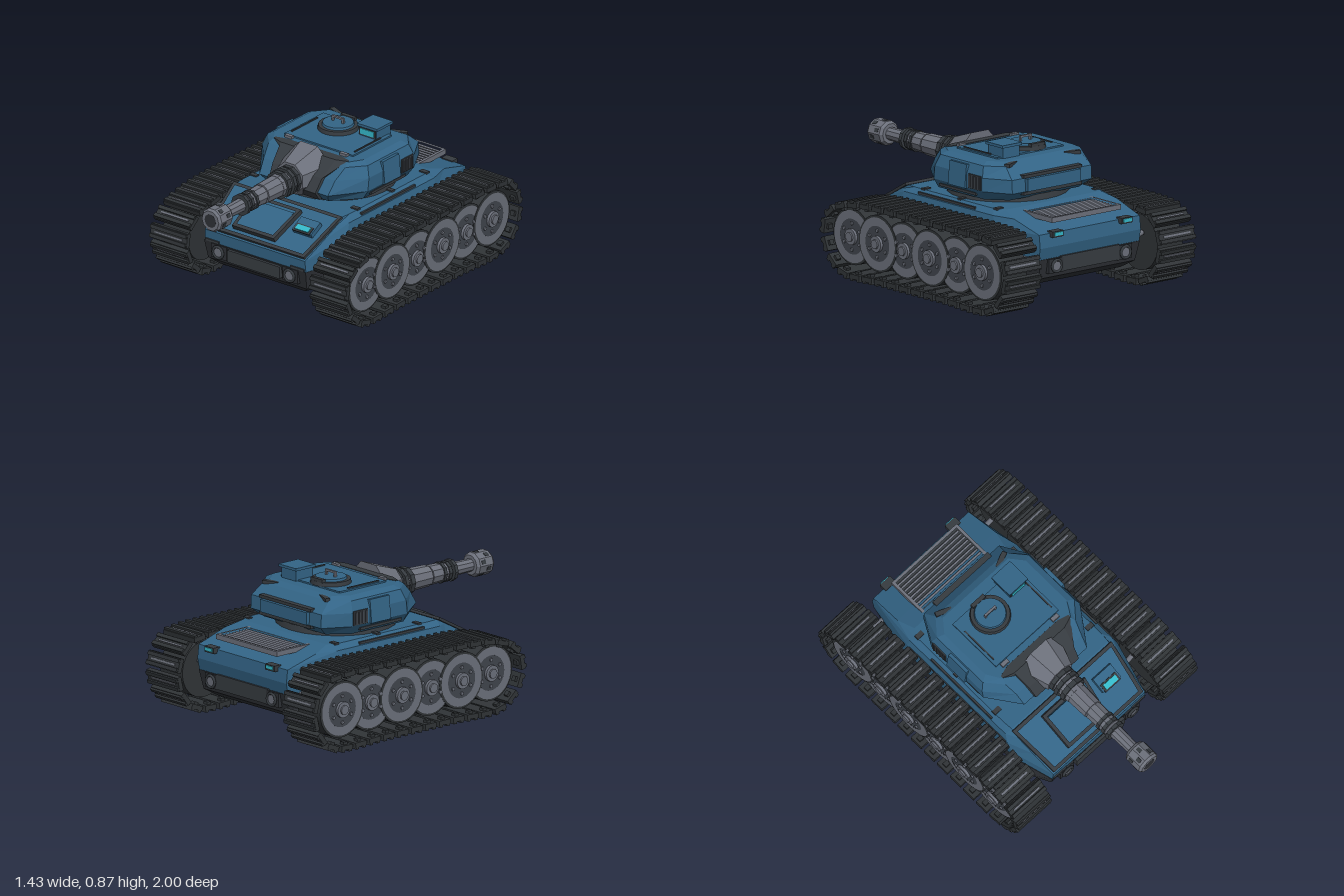
import * as THREE from 'three';

const mat = (name, color) => { const m = new THREE.MeshStandardMaterial({ color }); m.name = name; return m; };

export function createModel() {
  const blue = mat('armour blue', 0x336486), dark = mat('dark trim', 0x363b40), under = mat('lower hull', 0x2d3035),
    rubber = mat('track rubber', 0x303437), steel = mat('steel', 0x6c707b), teal = mat('teal glass', 0x35b8c9),
    wheelDark = mat('wheel dark', 0x40454d);
  const root = new THREE.Group();
  root.name = 'tank';

  const add = (name, geo, m, x = 0, y = 0, z = 0, parent = root) => {
    const mesh = new THREE.Mesh(geo, m);
    mesh.name = name;
    mesh.position.set(x, y, z);
    parent.add(mesh);
    return mesh;
  };
  const group = (name, parent = root) => { const g = new THREE.Group(); g.name = name; parent.add(g); return g; };
  const box = (name, w, h, d, m, x, y, z, parent) => add(name, new THREE.BoxGeometry(w, h, d), m, x, y, z, parent);
  const flat = g => { const n = g.toNonIndexed(); n.computeVertexNormals(); return n; };
  // cylinder along z from z0 (radius r0) to z1 (radius r1)
  const tubeZ = (name, r0, r1, z0, z1, m, x, y, parent, sides = 12) =>
    add(name, flat(new THREE.CylinderGeometry(r1, r0, z1 - z0, sides).rotateY(Math.PI / sides).rotateX(Math.PI / 2)), m, x, y, (z0 + z1) / 2, parent);
  const discX = (name, r, len, m, x, y, z, parent, sides = 28) =>
    add(name, new THREE.CylinderGeometry(r, r, len, sides).rotateZ(Math.PI / 2), m, x, y, z, parent);

  // stacked outlines: [y, middle width, front width, rear width, front z, mid-front z, mid-rear z, rear z]
  const loft = levels => {
    const rings = levels.map(([y, w, wf, wr, zf, mf, mr, zr]) => {
      const side = [[wf, zf], [w, mf], [w, mr], [wr, zr]];
      return [...side, ...side.slice().reverse().map(([x, z]) => [-x, z])].map(([x, z]) => [x, y, z]);
    });
    const pos = [], tri = (a, b, c) => pos.push(...a, ...b, ...c);
    for (let k = 0; k + 1 < rings.length; k++) for (let i = 0; i < 8; i++) {
      const j = (i + 1) % 8, lo = rings[k], hi = rings[k + 1];
      tri(lo[i], lo[j], hi[j]); tri(lo[i], hi[j], hi[i]);
    }
    const top = rings[rings.length - 1], bot = rings[0];
    for (let i = 1; i < 7; i++) { tri(top[0], top[i], top[i + 1]); tri(bot[0], bot[i + 1], bot[i]); }
    const g = new THREE.BufferGeometry();
    g.setAttribute('position', new THREE.Float32BufferAttribute(pos, 3));
    g.computeVertexNormals();
    return g;
  };
  // flat frame lying in xz: outer corners, inset border
  const frame = (x0, x1, x2, x3, z0, z1, b, h) => {
    const path = (P, i) => P.setFromPoints([[x0 + i, z0 + i], [x1 - i, z0 + i], [x3 - i, z1 - i], [x2 + i, z1 - i]]
      .map(([x, z]) => new THREE.Vector2(x, -z)));
    const s = path(new THREE.Shape(), 0);
    s.holes.push(path(new THREE.Path(), b));
    return new THREE.ExtrudeGeometry(s, { depth: h, bevelEnabled: false }).rotateX(-Math.PI / 2);
  };

  // hull
  add('lowerHull', loft([
    [0.13, 0.33, 0.31, 0.31, 0.51, 0.4, -0.66, -0.8],
    [0.175, 0.43, 0.36, 0.36, 0.56, 0.42, -0.7, -0.87],
    [0.29, 0.432, 0.37, 0.38, 0.585, 0.36, -0.62, -0.89]]), under);
  add('upperHull', loft([
    [0.285, 0.435, 0.37, 0.38, 0.58, 0.34, -0.58, -0.885],
    [0.36, 0.44, 0.365, 0.38, 0.585, 0.32, -0.56, -0.9],
    [0.44, 0.44, 0.38, 0.38, 0.43, 0.28, -0.55, -0.89],
    [0.5, 0.425, 0.39, 0.39, 0.317, 0.25, -0.54, -0.68],
    [0.53, 0.39, 0.385, 0.36, 0.26, 0.2, -0.5, -0.57]]), blue);
  box('noseBar', 0.38, 0.075, 0.03, dark, 0, 0.243, 0.585);
  box('rearPanel', 0.44, 0.09, 0.03, dark, 0, 0.25, -0.885);
  for (const s of [-1, 1]) {
    for (const [n, z, d] of [['headlamp', 0.57, 1], ['tailLamp', -0.88, -1]]) {
      box(n + 'Mount', 0.11, 0.085, 0.04, under, s * 0.26, 0.245, z);
      add(n + 'Ring', new THREE.TorusGeometry(0.035, 0.009, 6, 16), dark, s * 0.26, 0.245, z + d * 0.028);
      const a = Math.min(z, z + d * 0.03), b = Math.max(z, z + d * 0.03);
      tubeZ(n, 0.03, 0.03, a, b, steel, s * 0.26, 0.245);
    }
    box('tailLightHousing', 0.08, 0.035, 0.05, dark, s * 0.26, 0.435, -0.895);
    box('tailLight', 0.06, 0.02, 0.008, teal, s * 0.26, 0.437, -0.922);
    box('noseTrim', 0.1, 0.014, 0.02, dark, s * 0.31, 0.3, 0.58);
    box('deckRail', 0.012, 0.014, 0.5, dark, s * 0.418, 0.512, -0.12);
    box('sideSeam', 0.008, 0.012, 0.8, dark, s * 0.44, 0.44, -0.13);
    for (const z of [0.36, -0.8]) {
      const rod = discX('suspensionRod', 0.016, 0.1, steel, s * 0.43, 0.295, z, root, 8);
      rod.rotation.z = s * 0.3;
    }
    for (let i = 0; i < 3; i++) box('deckLatch', 0.05, 0.012, 0.03, dark, s * 0.37, 0.531, 0.12 - i * 0.32);
  }

  // sloping front plate with hatch and light
  const glacis = group('glacis');
  glacis.position.set(0, 0.448, 0.42);
  glacis.rotation.x = 0.488;
  add('glacisFrame', frame(-0.395, 0.395, -0.355, 0.355, -0.17, 0.175, 0.022, 0.016), dark, 0, 0, 0, glacis);
  box('hatchLid', 0.29, 0.018, 0.2, blue, -0.045, 0.012, 0.01, glacis);
  add('hatchFrame', frame(-0.205, 0.135, -0.2, 0.105, -0.12, 0.125, 0.022, 0.03), dark, 0, 0, 0, glacis);
  box('lightHousing', 0.14, 0.03, 0.1, blue, 0.235, 0.012, -0.03, glacis);
  box('lightSurround', 0.12, 0.008, 0.055, dark, 0.235, 0.028, 0, glacis);
  box('frontLight', 0.095, 0.008, 0.035, teal, 0.235, 0.034, 0, glacis);

  // engine grille
  const grille = group('engineGrille');
  grille.position.set(0, 0.49, -0.725);
  box('grilleBase', 0.5, 0.012, 0.26, dark, 0, 0.005, 0, grille);
  add('grilleFrame', frame(-0.26, 0.26, -0.26, 0.26, -0.14, 0.14, 0.018, 0.03), steel, 0, 0, 0, grille);
  for (let i = 0; i < 9; i++) box('grilleSlat', 0.48, 0.014, 0.012, steel, 0, 0.018, -0.105 + i * 0.026, grille).rotation.x = 0.4;

  // turret
  const turret = group('turret');
  const ring = add('turretRing', new THREE.CylinderGeometry(0.35, 0.36, 0.04, 24), dark, 0, 0.545, -0.17, turret);
  ring.scale.z = 0.97;
  add('turretShell', loft([
    [0.555, 0.355, 0.22, 0.26, 0.18, 0.03, -0.38, -0.49],
    [0.61, 0.39, 0.25, 0.3, 0.225, 0.03, -0.4, -0.56],
    [0.69, 0.39, 0.26, 0.3, 0.17, 0.02, -0.4, -0.555],
    [0.755, 0.365, 0.28, 0.28, 0.1, 0, -0.38, -0.48],
    [0.775, 0.325, 0.27, 0.26, 0.07, -0.02, -0.36, -0.44]]), blue, 0, 0, 0, turret);
  add('mantletCollar', loft([
    [0.556, 0.18, 0.17, 0.17, 0.2, 0.1, 0.05, 0],
    [0.61, 0.19, 0.17, 0.17, 0.24, 0.18, 0.05, 0],
    [0.69, 0.2, 0.18, 0.18, 0.19, 0.13, 0.04, 0],
    [0.778, 0.27, 0.2, 0.2, 0.09, 0.065, 0.05, 0.03]]), dark, 0, 0, 0, turret);
  tubeZ('mantlet', 0.165, 0.1, 0.08, 0.26, steel, 0, 0.668, turret, 8);
  box('turretRoof', 0.5, 0.012, 0.36, blue, 0, 0.778, -0.19, turret);
  box('rearBin', 0.4, 0.075, 0.05, blue, 0, 0.65, -0.555, turret);
  box('rearBinTrim', 0.44, 0.018, 0.035, dark, 0, 0.7, -0.55, turret);
  box('rearBinBase', 0.44, 0.018, 0.035, dark, 0, 0.6, -0.55, turret);
  for (const s of [-1, 1]) {
    box('cheekPanel', 0.025, 0.14, 0.15, blue, s * 0.385, 0.675, -0.185, turret).rotation.z = s * 0.1;
    box('sideVent', 0.012, 0.085, 0.11, dark, s * 0.389, 0.655, -0.335, turret);
    for (let i = 0; i < 4; i++) box('ventBar', 0.008, 0.07, 0.01, wheelDark, s * 0.396, 0.655, -0.295 - i * 0.026, turret);
    box('sideTrim', 0.018, 0.016, 0.32, dark, s * 0.375, 0.582, -0.17, turret);
    const wedge = box('rearWedge', 0.1, 0.02, 0.03, dark, s * 0.23, 0.76, -0.465, turret);
    wedge.rotation.y = s * 0.4;
    box('roofRail', 0.008, 0.012, 0.24, dark, s * 0.23, 0.785, -0.17, turret);
    box('roofClip', 0.05, 0.016, 0.025, steel, s * 0.2, 0.785, 0.01, turret);
  }

  // cupola and sight
  add('cupolaRing', new THREE.CylinderGeometry(0.115, 0.12, 0.025, 24), dark, -0.055, 0.795, -0.26, turret);
  add('cupolaLid', new THREE.CylinderGeometry(0.09, 0.097, 0.022, 24), blue, -0.055, 0.81, -0.26, turret);
  box('cupolaHinge', 0.1, 0.02, 0.025, dark, -0.055, 0.815, -0.36, turret);
  box('cupolaHandle', 0.085, 0.012, 0.014, steel, -0.055, 0.848, -0.26, turret);
  for (const s of [-1, 1]) box('cupolaHandlePost', 0.012, 0.03, 0.014, steel, -0.055 + s * 0.037, 0.833, -0.26, turret);
  box('sightBody', 0.125, 0.065, 0.13, blue, 0.163, 0.81, -0.325, turret);
  box('sightCap', 0.148, 0.016, 0.15, blue, 0.163, 0.849, -0.325, turret);
  box('sightSurround', 0.12, 0.045, 0.008, dark, 0.163, 0.813, -0.258, turret);
  box('sightGlass', 0.1, 0.034, 0.008, teal, 0.163, 0.815, -0.253, turret);

  // gun: [name, start radius, end radius, start z, end z, material]
  const gun = group('gun', turret);
  for (const [n, r0, r1, z0, z1, m] of [
    ['gunRoot', 0.075, 0.07, 0.24, 0.4, steel], ['rootRing', 0.088, 0.088, 0.26, 0.285, dark],
    ['rootRing', 0.09, 0.09, 0.3, 0.325, dark], ['rootRing', 0.085, 0.085, 0.345, 0.375, dark],
    ['sleeve', 0.068, 0.064, 0.39, 0.53, steel], ['innerSleeve', 0.055, 0.055, 0.53, 0.685, steel],
    ['midSleeve', 0.06, 0.056, 0.54, 0.64, steel], ['sleeveRing', 0.064, 0.064, 0.62, 0.64, dark],
    ['sleeveRing', 0.062, 0.062, 0.66, 0.682, dark], ['barrelRing', 0.066, 0.066, 0.7, 0.722, dark],
    ['barrel', 0.042, 0.038, 0.7, 0.89, steel], ['muzzleBack', 0.06, 0.074, 0.868, 0.885, steel],
    ['muzzle', 0.074, 0.074, 0.885, 0.985, steel], ['muzzleTip', 0.074, 0.062, 0.985, 1, steel],
    ['bore', 0.042, 0.042, 0.99, 1.0005, under]]) tubeZ(n, r0, r1, z0, z1, m, 0, 0.662, gun, 10);
  for (let i = 0; i < 10; i++) {
    const a = i / 10 * Math.PI * 2;
    const slot = box('muzzleSlot', 0.024, 0.008, 0.03, dark, Math.sin(a) * 0.069, 0.662 + Math.cos(a) * 0.069, 0.915 + (i % 2) * 0.04, gun);
    slot.rotation.z = -a;
  }

  // running gear
  const loop = new THREE.CatmullRomCurve3([[0.46, 0.028], [0.555, 0.08], [0.612, 0.16], [0.632, 0.25], [0.605, 0.335], [0.52, 0.4],
    [0.41, 0.43], [0.28, 0.447], [-0.25, 0.45], [-0.78, 0.448], [-0.88, 0.425], [-0.945, 0.355], [-0.974, 0.26], [-0.955, 0.16],
    [-0.9, 0.08], [-0.81, 0.028], [-0.4, 0.027], [0.1, 0.027]].map(([z, y]) => new THREE.Vector3(0, y, z)), true, 'centripetal');
  loop.arcLengthDivisions = 800;
  const LINKS = 34, pitch = loop.getLength() / LINKS;
  const linkGeo = new THREE.BoxGeometry(0.265, 0.028, pitch * 0.8), cleatGeo = new THREE.BoxGeometry(0.262, 0.014, 0.022),
    pinGeo = new THREE.BoxGeometry(0.2, 0.008, 0.01), toothGeo = new THREE.BoxGeometry(0.03, 0.02, 0.03);
  for (const s of [-1, 1]) {
    const track = group(s > 0 ? 'leftTrack' : 'rightTrack');
    track.position.x = s * 0.583;
    for (let i = 0; i < LINKS; i++) {
      const p = loop.getPointAt(i / LINKS), t = loop.getTangentAt(i / LINKS);
      const link = group('trackLink', track);
      link.position.copy(p);
      link.rotation.x = Math.atan2(-t.y, t.z);
      // local -y faces outward
      add('linkPlate', linkGeo, rubber, 0, 0, 0, link);
      for (const d of [-0.027, 0.027]) add('cleat', cleatGeo, rubber, 0, -0.019, d, link);
      add('linkPin', pinGeo, steel, 0, -0.016, 0, link);
      for (const d of [-0.1, 0.1]) add('guideTooth', toothGeo, rubber, d, 0.02, 0, link);
    }
    for (let i = 0; i < 6; i++) {
      const wheel = group('roadWheel', track);
      wheel.position.set(s * (i % 2) * 0.006, 0.243, 0.412 - i * 0.2315);
      discX('tyre', 0.168, 0.19, rubber, 0, 0, 0, wheel, 32);
      const rim = new THREE.RingGeometry(0.105, 0.155, 32).rotateY(s * Math.PI / 2);
      add('rim', rim, steel, s * 0.099, 0, 0, wheel);
      discX('wheelDisc', 0.105, 0.012, wheelDark, s * 0.092, 0, 0, wheel);
      discX('hub', 0.048, 0.03, steel, s * 0.1, 0, 0, wheel, 16);
      discX('hubCap', 0.028, 0.02, steel, s * 0.115, 0, 0, wheel, 12);
      for (let k = 0; k < 6; k++) {
        const a = k / 6 * Math.PI * 2;
        discX('bolt', 0.011, 0.01, steel, s * 0.101, Math.cos(a) * 0.078, Math.sin(a) * 0.078, wheel, 6);
      }
    }
  }
  return root;
}
